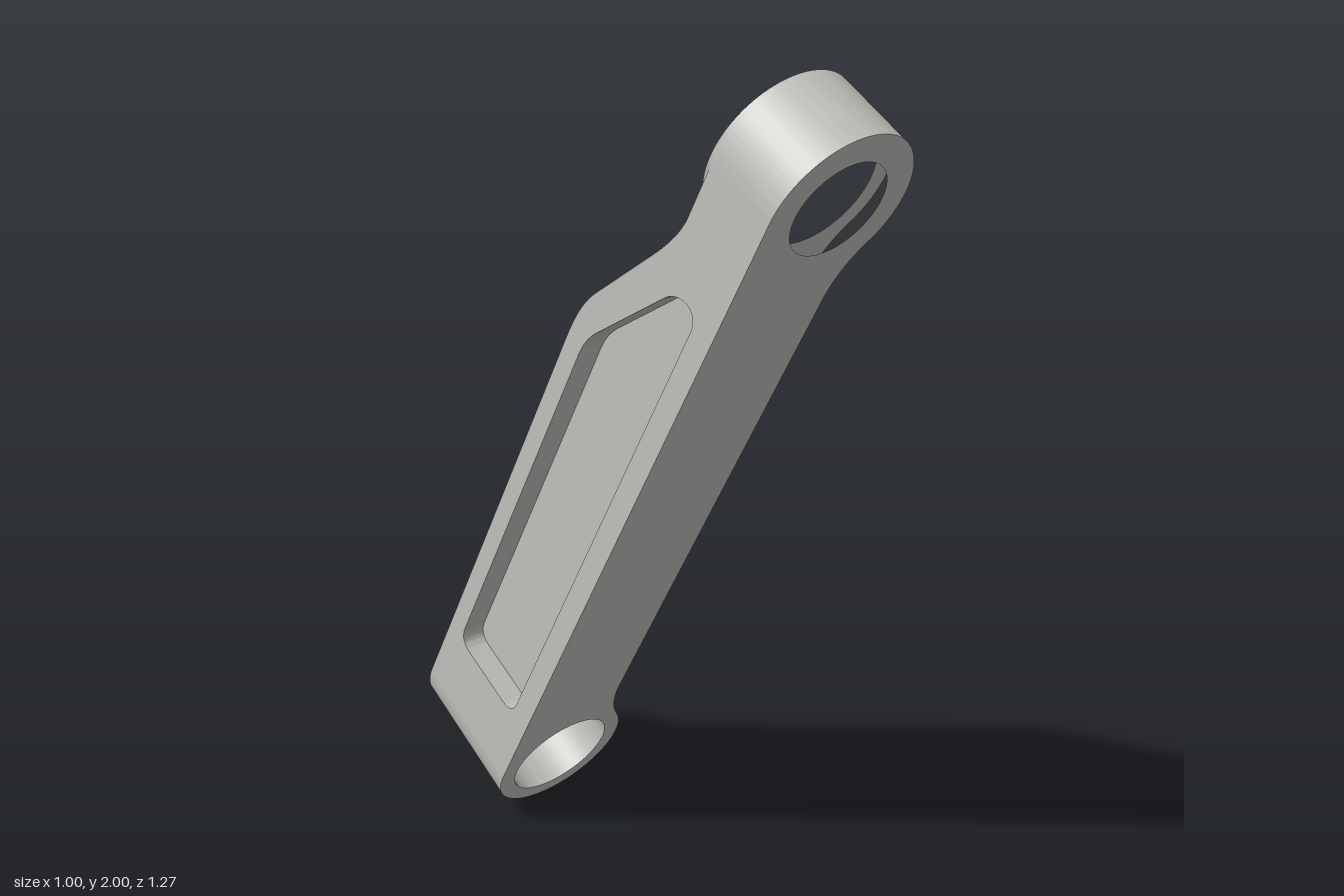
import * as THREE from 'three';
import { toCreasedNormals } from 'three/addons/utils/BufferGeometryUtils.js';

// Local frame: x across the arm, y along it, thickness v runs from the flat face (z = 0) to -z.
const LENGTH = 1.838, R = 0.18, THICK = 0.362, NECK = 0.185, RIM = 0.196;
const SIDE = 0.096, FILLET = 0.25, SKIN = -0.12, ARM_END = 1.56;

const steel = new THREE.MeshStandardMaterial({ color: 0xbfbfbb });
steel.name = 'satin grey';

function addMesh(parent, name, geometry) {
  const mesh = new THREE.Mesh(toCreasedNormals(geometry, 0.5), steel);
  mesh.name = name;
  parent.add(mesh);
}

// Extrude a plan shape (x, y) between two thickness levels
function slab(parent, name, shape, v0, v1) {
  const g = new THREE.ExtrudeGeometry(shape, { depth: v1 - v0, bevelEnabled: false, curveSegments: 48 });
  addMesh(parent, name, g.translate(0, 0, -v1));
}

// Extrude a side profile (along the arm, thickness) between two x positions
function sideSlab(parent, name, shape, x0, x1) {
  const g = new THREE.ExtrudeGeometry(shape, { depth: x1 - x0, bevelEnabled: false, curveSegments: 16 });
  g.translate(0, 0, -x1);
  g.applyMatrix4(new THREE.Matrix4().makeBasis(
    new THREE.Vector3(0, 1, 0), new THREE.Vector3(0, 0, -1), new THREE.Vector3(-1, 0, 0)));
  addMesh(parent, name, g);
}

function withBore(shape, y, r) {
  shape.holes.push(new THREE.Path().absarc(0, y, r, 0, Math.PI * 2, true));
  return shape;
}

// Round end with one straight side and one filleted side; dir = 1 points up the arm
function endShape(y, dir, skinCut, coreCut, bore) {
  const fx = SIDE + FILLET, fy = Math.sqrt((R + FILLET) ** 2 - fx * fx);
  const angle = Math.atan2(fy, fx);
  const s = new THREE.Shape();
  s.moveTo(SKIN, skinCut);
  s.lineTo(-R, skinCut);
  s.lineTo(-R, 0);
  s.absarc(0, 0, R, Math.PI, Math.PI * 2 + angle, false);
  s.absarc(fx, fy, FILLET, Math.PI + angle, Math.PI, true);
  s.lineTo(SIDE, coreCut);
  s.lineTo(SKIN, coreCut);
  const points = s.getPoints(48).map(p => new THREE.Vector2(p.x, y + dir * p.y));
  return withBore(new THREE.Shape(points), y, bore);
}

// Side profile: full thickness, then a ramp down to the thin end
function armProfile(start) {
  const s = new THREE.Shape();
  s.moveTo(start, 0);
  s.lineTo(ARM_END, 0);
  s.lineTo(ARM_END, NECK);
  s.lineTo(1.69, NECK);
  s.quadraticCurveTo(1.64, 0.188, ARM_END, 0.23);
  s.lineTo(1.36, 0.334);
  s.quadraticCurveTo(1.305, THICK, 1.21, THICK);
  s.lineTo(start, THICK);
  s.closePath();
  return s;
}

// Closed outline with rounded corners
function roundedPath(corners, r) {
  const path = new THREE.Path();
  const pts = corners.map(([x, y]) => new THREE.Vector2(x, y));
  pts.forEach((p, i) => {
    const prev = pts[(i + pts.length - 1) % pts.length], next = pts[(i + 1) % pts.length];
    const a = prev.clone().sub(p).setLength(r).add(p);
    const b = next.clone().sub(p).setLength(r).add(p);
    if (i === 0) path.moveTo(a.x, a.y); else path.lineTo(a.x, a.y);
    path.quadraticCurveTo(p.x, p.y, b.x, b.y);
  });
  path.closePath();
  return path;
}

export function createModel() {
  const model = new THREE.Group();
  model.name = 'leverArm';
  const arm = new THREE.Group();
  arm.name = 'tiltedArm';
  model.add(arm);

  // Thick lower end: counterbored from both faces around a small hole
  [[0, 0.11, 0.137], [0.11, 0.237, 0.092], [0.237, THICK, 0.137]].forEach(([v0, v1, bore], i) =>
    slab(arm, 'lowerBoss' + (i + 1), endShape(0, 1, 0.185, 0.27, bore), v0, v1));

  // Thin upper end: through hole with a single counterbore and a slightly raised rim
  const cut = LENGTH - ARM_END;
  slab(arm, 'upperBossWeb', endShape(LENGTH, -1, cut, cut, 0.115), 0, 0.06);
  slab(arm, 'upperBoss', endShape(LENGTH, -1, cut, cut, 0.136), 0.06, NECK);
  const rim = new THREE.Shape().absarc(0, LENGTH, R, 0, Math.PI * 2, false);
  slab(arm, 'upperRim', withBore(rim, LENGTH, 0.136), NECK, RIM);

  // Arm core, and the outer wall with its long pocket
  sideSlab(arm, 'armCore', armProfile(0.27), SKIN, SIDE);
  const wall = armProfile(0.185);
  wall.holes.push(roundedPath(
    [[0.192, 0.06], [0.192, 0.31], [1.25, 0.31], [1.545, 0.135], [1.545, 0.06]], 0.045));
  sideSlab(arm, 'pocketWall', wall, -R, SKIN);

  // Lean the arm 30 degrees from upright and turn it about the vertical
  const across = new THREE.Vector3(0.831, 0, -0.556).normalize();
  const along = new THREE.Vector3(0.278, 0.866, 0.4155).normalize();
  const face = across.clone().cross(along);
  arm.quaternion.setFromRotationMatrix(new THREE.Matrix4().makeBasis(across, along, face));
  arm.position.set(-0.17, 0.156, -0.252);
  return model;
}
